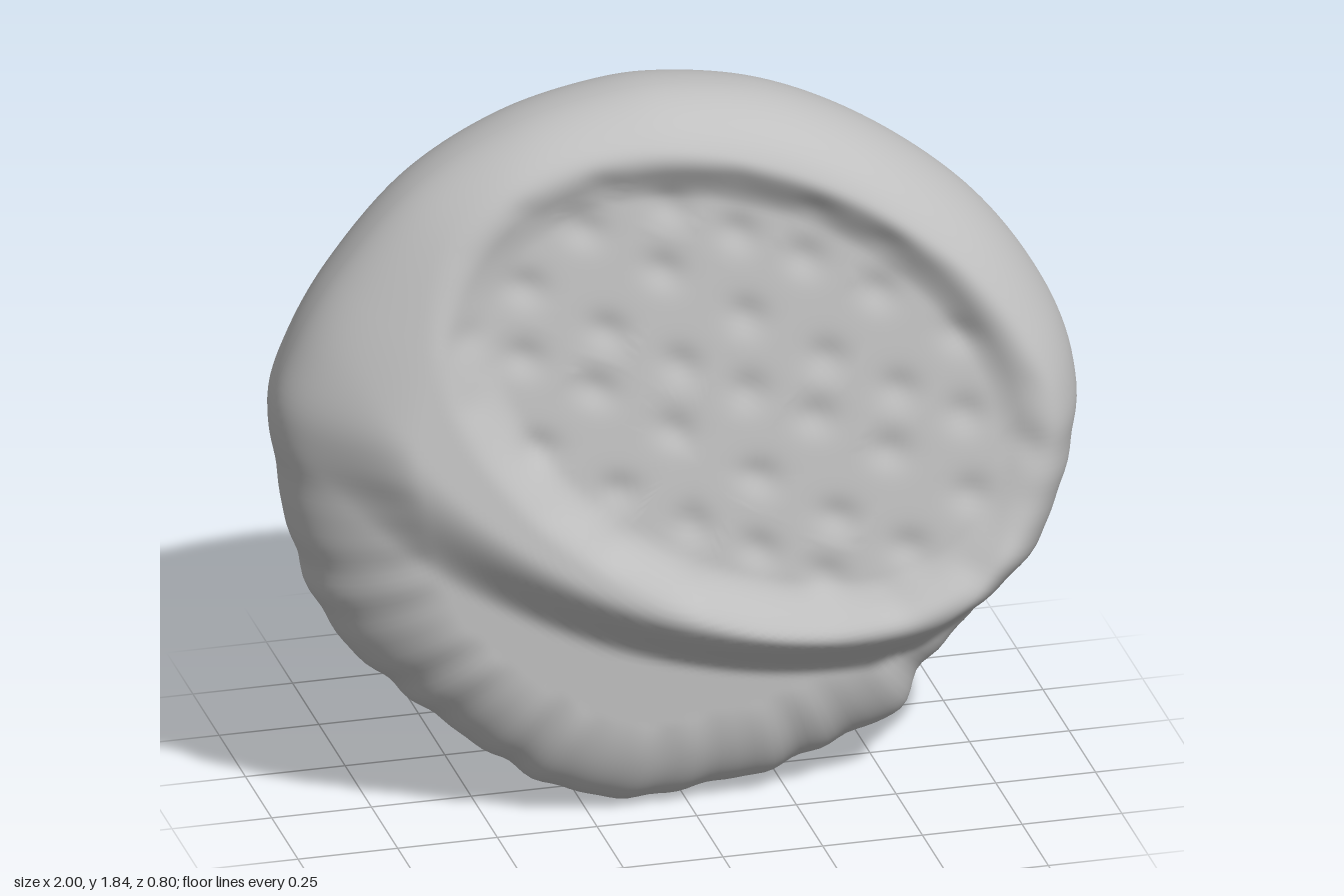
import * as THREE from 'three';
import { mergeVertices } from 'three/addons/utils/BufferGeometryUtils.js';

const SEGMENTS = 240, RINGS = 80;
const CENTER = new THREE.Vector2(0, 0.95);
const step = (a, b, x) => {
  const t = Math.min(1, Math.max(0, (x - a) / (b - a)));
  return t * t * (3 - 2 * t);
};

// Slightly irregular round outline, clockwise from the top
const OUTLINE = [
  [0, 1.845], [0.25, 1.8], [0.5, 1.68], [0.75, 1.48], [0.9, 1.28], [0.98, 1.1], [0.995, 0.95],
  [0.95, 0.75], [0.88, 0.57], [0.75, 0.4], [0.61, 0.27], [0.54, 0.16], [0.4, 0.11], [0.2, 0.04],
  [0, 0.02], [-0.1, 0.005], [-0.3, 0.05], [-0.45, 0.14], [-0.65, 0.3], [-0.85, 0.5],
  [-0.95, 0.75], [-0.985, 0.95], [-1, 1.1], [-0.95, 1.25], [-0.85, 1.42], [-0.65, 1.64],
  [-0.4, 1.78], [-0.15, 1.84],
];

// Height of the seam, and gathered folds that fade out towards the top
const seamZ = (y) => 0.09 * step(0.7, 0, y);
const folds = (angle, y) =>
  step(1.3, 0.4, y) * (0.6 * Math.sin(angle * 31) + 0.4 * Math.sin(angle * 47 + 1));

// Tilted oval cushion with a raised rim, a sunken tufted middle and a lower lip
function frontZ(x, y, inset, angle) {
  const dx = x - 0.13, dy = y - 1.12;
  const u = dx * 0.866 - dy * 0.5, v = dx * 0.5 + dy * 0.866;
  const e = Math.hypot(u / 0.83, v / 0.53);
  const rim = 0.405 - 0.155 * (y - 0.55) + 0.03 * (x - 0.2);
  const edge = 1.26 - 0.22 * u;
  const drop = step(edge - 0.19, edge + 0.15, e) * step(0.1, -0.3, v);
  let height = rim + (0.245 - rim) * drop;
  const sunken = 1 - step(0.8, 1.05, e);
  height -= 0.065 * sunken;
  // Staggered, slightly uneven tufts
  const a = u / 0.21, b = v / 0.17;
  const row = Math.round(b), col = a + (row % 2 ? 0.5 : 0), nearest = Math.round(col);
  const shift = 0.16 * Math.sin(nearest * 5.3 + row * 2.7);
  const distance = Math.hypot(col - nearest - shift, b - row + shift * 0.6);
  height -= 0.014 * sunken * Math.exp(-distance * distance * 16);
  // Rounded shoulder, wider on the sides and on the lower lip
  const width = 0.15 + 0.23 * step(-0.4, -0.95, x) + 0.06 * step(0.4, 0.9, x)
    + 0.1 * drop * step(-0.9, -0.3, x);
  const k = 1 - Math.min(1, inset / width);
  const z0 = seamZ(y);
  return z0 + (height - z0) * Math.sqrt(1 - k * k) + 0.005 * folds(angle, y) * k * (1 - k) * 4;
}

// Nearly flat back with a broad rounded edge
function backZ(x, y, inset, angle) {
  const k = 1 - Math.min(1, inset / 0.5);
  const z0 = seamZ(y);
  const flat = -0.4 + 0.045 * (1.4 - y);
  return z0 + (flat - z0) * Math.sqrt(1 - k ** 2.3) - 0.012 * folds(angle, y) * k * k * (1 - k) * 4;
}

// Concentric rings inside the outline, lifted by a height rule
function buildSide(heightRule, facesFront) {
  const curve = new THREE.CatmullRomCurve3(
    OUTLINE.map(([x, y]) => new THREE.Vector3(x, y, 0)).reverse(), true);
  const edge = curve.getSpacedPoints(SEGMENTS);
  const positions = [], index = [];
  for (let r = 0; r <= RINGS; r++) {
    const s = r / RINGS, t = 1 - (1 - s) ** 2;
    for (let i = 0; i < SEGMENTS; i++) {
      const px = edge[i].x - CENTER.x, py = edge[i].y - CENTER.y;
      const angle = Math.atan2(py, px), radius = Math.hypot(px, py);
      const ripple = 1 + 0.007 * folds(angle, edge[i].y) * step(0.85, 1, t);
      const x = CENTER.x + px * t * ripple, y = CENTER.y + py * t * ripple;
      positions.push(x, y, heightRule(x, y, (1 - t) * radius, angle));
      if (r === RINGS) continue;
      const j = (i + 1) % SEGMENTS;
      const a = r * SEGMENTS + i, b = r * SEGMENTS + j, c = a + SEGMENTS, d = b + SEGMENTS;
      const faces = r === 0 ? [[a, c, d]] : [[a, c, d], [a, d, b]];
      for (const [p, q, w] of faces) index.push(...(facesFront ? [p, q, w] : [p, w, q]));
    }
  }
  let geometry = new THREE.BufferGeometry();
  geometry.setAttribute('position', new THREE.Float32BufferAttribute(positions, 3));
  geometry.setIndex(index);
  geometry = mergeVertices(geometry, 1e-5);
  geometry.computeVertexNormals();
  return geometry;
}

export function createModel() {
  const group = new THREE.Group();
  group.name = 'roundCushion';
  const fabric = new THREE.MeshStandardMaterial({ color: 0xc0c0c0 });
  fabric.name = 'light grey fabric';

  const front = new THREE.Mesh(buildSide(frontZ, true), fabric);
  front.name = 'tuftedFront';
  const back = new THREE.Mesh(buildSide(backZ, false), fabric);
  back.name = 'roundedBack';
  group.add(front, back);

  // Rest on the ground
  const box = new THREE.Box3().setFromObject(group);
  for (const part of group.children) {
    part.geometry.translate(-(box.min.x + box.max.x) / 2, -box.min.y, -(box.min.z + box.max.z) / 2);
  }
  return group;
}
